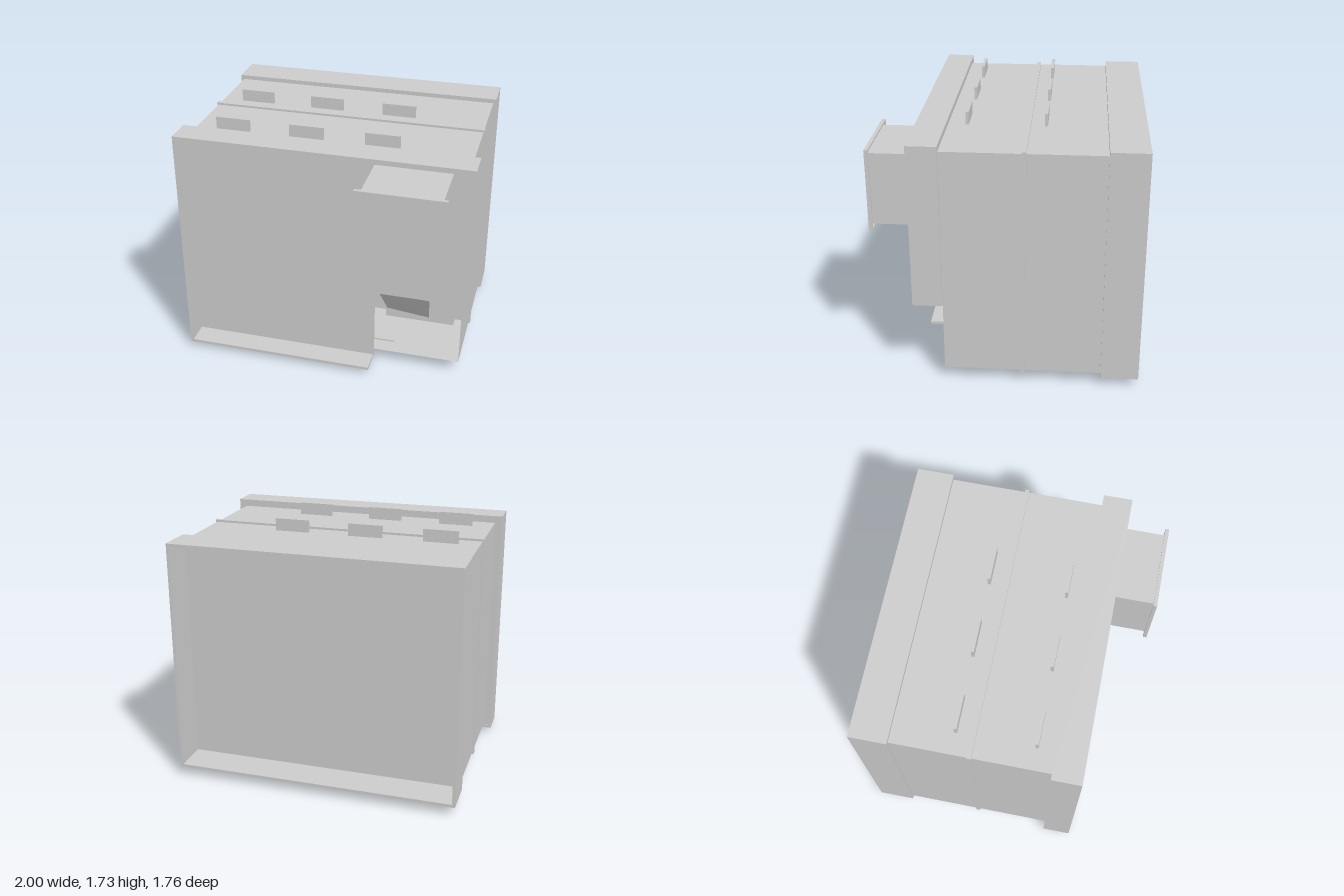
import * as THREE from 'three';

const material = new THREE.MeshStandardMaterial({ color: 0xcccccc, flatShading: true });
const thin = new THREE.MeshStandardMaterial({ color: 0xcccccc, flatShading: true, side: THREE.DoubleSide });

export function createModel() {
  const model = new THREE.Group();
  const add = (name, geometry, mat = material) => {
    const mesh = new THREE.Mesh(geometry, mat);
    mesh.name = name;
    model.add(mesh);
    return mesh;
  };
  // Box given by its limits along each axis
  const box = (name, x0, x1, y0, y1, z0, z1, mat) => {
    const mesh = add(name, new THREE.BoxGeometry(x1 - x0, y1 - y0, z1 - z0), mat);
    mesh.position.set((x0 + x1) / 2, (y0 + y1) / 2, (z0 + z1) / 2);
    return mesh;
  };
  // Flat outline pushed from z0 to z1
  const slab = (name, points, z0, z1, hole) => {
    const shape = new THREE.Shape(points.map(([x, y]) => new THREE.Vector2(x, y)));
    if (hole) shape.holes.push(new THREE.Path(hole.map(([x, y]) => new THREE.Vector2(x, y))));
    const geometry = new THREE.ExtrudeGeometry(shape, { depth: z1 - z0, bevelEnabled: false });
    add(name, geometry).position.z = z0;
  };
  const rect = (x0, x1, y0, y1, inset = 0) => [
    [x0 + inset, y0 + inset], [x1 - inset, y0 + inset], [x1 - inset, y1 - inset], [x0 + inset, y1 - inset],
  ];

  // Thin-walled body, open at the front
  const body = box('bodyShell', -0.95, 0.95, 0.09, 1.64, -0.63, 0.41, thin);
  const index = Array.from(body.geometry.index.array);
  index.splice(24, 6);
  body.geometry.setIndex(index);
  body.geometry.clearGroups();

  // Dividing wall whose edge shows as a rib around the body
  box('divider', -0.96, 0.96, 0.075, 1.655, -0.13, -0.1);

  // Front panel and rim, both cut away at the lower corner
  slab('frontPanel', [
    [-0.99, 0.05], [0.34, 0.05], [0.34, 0.59], [0.99, 0.59], [0.99, 1.68], [-0.99, 1.68],
  ], 0.41, 0.44);
  slab('frontRim', [
    [0.34, 0.04], [0.34, 0.06], [-0.98, 0.06], [-0.98, 1.67], [0.98, 1.67],
    [0.98, 0.59], [1, 0.59], [1, 1.69], [-1, 1.69], [-1, 0.04],
  ], 0.405, 0.6);

  // Rear panel and rim
  box('rearPanel', -0.96, 0.96, 0.075, 1.66, -0.645, -0.631);
  slab('rearRim', rect(-0.97, 0.97, 0.065, 1.67), -0.88, -0.63, rect(-0.97, 0.97, 0.065, 1.67, 0.02));

  // Projecting front housing with a rimmed cover
  box('housing', 0.325, 0.84, 1.09, 1.575, 0.44, 0.87);
  box('housingCover', 0.295, 0.875, 1.055, 1.605, 0.87, 0.88);
  slab('coverRim', rect(0.295, 0.875, 1.055, 1.605), 0.855, 0.871, rect(0.295, 0.875, 1.055, 1.605, 0.012));

  // Upright tabs above and below the body
  for (const z of [0.285, -0.23]) {
    for (const x of [-0.69, -0.175, 0.343]) {
      box('topTab', x - 0.118, x + 0.118, 1.63, 1.725, z - 0.01, z + 0.01);
      box('bottomTab', x - 0.118, x + 0.118, 0, 0.1, z - 0.01, z + 0.01);
    }
  }

  // Stepped block on the divider, seen through the corner opening
  box('innerBase', 0.33, 0.845, 0.082, 0.53, -0.1, -0.02);
  box('innerBlock', 0.44, 0.805, 0.19, 0.51, -0.02, 0.03);
  box('innerButton', 0.52, 0.75, 0.23, 0.43, 0.03, 0.06);

  // Flap leaning inward behind the corner opening
  const flap = new THREE.BufferGeometry();
  flap.setAttribute('position', new THREE.Float32BufferAttribute([
    0.36, 0.57, 0.39, 0.38, 0.295, 0.17, 0.69, 0.265, 0.175, 0.72, 0.55, 0.385,
  ], 3));
  flap.setIndex([0, 1, 2, 0, 2, 3]);
  flap.computeVertexNormals();
  add('flap', flap, thin);

  return model;
}
